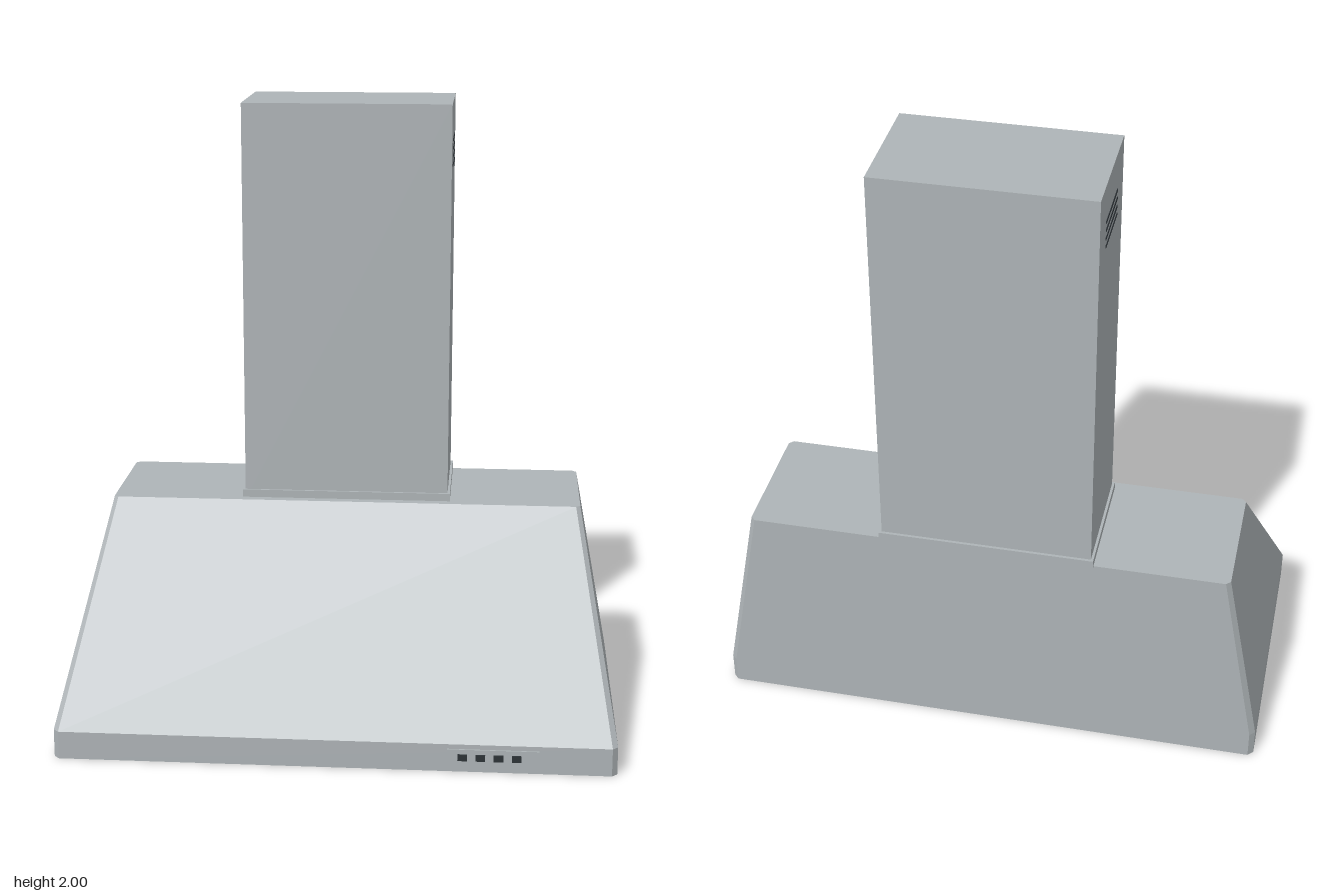
import * as THREE from 'three';

const mat = (name, color) => Object.assign(new THREE.MeshStandardMaterial({ color }), { name });

// Rectangle outline with cut corners at height y
function ring(y, hx, z0, z1, c) {
  return [
    [hx - c, z1], [hx, z1 - c], [hx, z0 + c], [hx - c, z0],
    [-hx + c, z0], [-hx, z0 + c], [-hx, z1 - c], [-hx + c, z1],
  ].map(([x, z]) => [x, y, z]);
}

// Flat-faced skin through successive rings, closed at the last one
function loft(rings) {
  const p = [];
  const n = rings[0].length;
  for (let r = 0; r < rings.length - 1; r++) {
    const a = rings[r], b = rings[r + 1];
    for (let i = 0; i < n; i++) {
      const j = (i + 1) % n;
      p.push(...a[i], ...a[j], ...b[j], ...a[i], ...b[j], ...b[i]);
    }
  }
  const top = rings[rings.length - 1];
  for (let i = 1; i < n - 1; i++) p.push(...top[0], ...top[i], ...top[i + 1]);
  const g = new THREE.BufferGeometry();
  g.setAttribute('position', new THREE.Float32BufferAttribute(p, 3));
  g.computeVertexNormals();
  return g;
}

export function createModel() {
  const steel = mat('brushed steel', 0xaeb4b7);
  const bright = mat('bright trim', 0xd8dcde);
  const dark = mat('dark plastic', 0x2c3236);
  const backing = mat('filter backing', 0x35393b);
  const wire = mat('filter mesh grey', 0x686e70);
  const lens = mat('lamp lens', 0xc4c8c0);

  const model = new THREE.Group();
  model.name = 'rangeHood';

  const add = (name, geo, material, parent = model) => {
    const m = new THREE.Mesh(geo, material);
    m.name = name;
    parent.add(m);
    return m;
  };
  // Box given by its limits
  const box = (name, x0, x1, y0, y1, z0, z1, material, parent) => {
    const m = add(name, new THREE.BoxGeometry(x1 - x0, y1 - y0, z1 - z0), material, parent);
    m.position.set((x0 + x1) / 2, (y0 + y1) / 2, (z0 + z1) / 2);
    return m;
  };
  // Rectangular frame of four bars lying flat
  const frame = (name, x0, x1, y0, y1, z0, z1, w, material, parent) => {
    box(name, x0, x1, y0, y1, z0, z0 + w, material, parent);
    box(name, x0, x1, y0, y1, z1 - w, z1, material, parent);
    box(name, x0, x0 + w, y0, y1, z0 + w, z1 - w, material, parent);
    box(name, x1 - w, x1, y0, y1, z0 + w, z1 - w, material, parent);
  };

  // Canopy: recessed underside, upright band, sloping hood
  add('canopy', loft([
    ring(0.025, 0.862, -0.45, 0.448, 0.012),
    ring(0, 0.862, -0.45, 0.448, 0.012),
    ring(0, 0.882, -0.47, 0.468, 0.017),
    ring(0.09, 0.882, -0.47, 0.468, 0.017),
    ring(0.71, 0.766, -0.47, -0.043, 0.014),
  ]), steel);
  box('undersidePanel', -0.864, 0.864, 0.02, 0.03, -0.452, 0.45, steel);

  // Chimney and its collar
  box('chimney', -0.333, 0.333, 0.70, 2, -0.47, -0.081, steel);
  box('chimneyCollar', -0.341, 0.341, 0.705, 0.735, -0.479, -0.073, steel);

  // Vent slots on both chimney sides
  for (const s of [-1, 1]) {
    for (let i = 0; i < 4; i++) {
      const y = 1.797 + i * 0.027;
      box('ventSlot', s * 0.333 - 0.002, s * 0.333 + 0.002, y - 0.004, y + 0.004, -0.37, -0.18, dark);
    }
  }

  // Control strip with four buttons
  const controls = new THREE.Group();
  controls.name = 'controls';
  model.add(controls);
  box('controlPlate', 0.355, 0.64, 0.025, 0.075, 0.46, 0.473, steel, controls);
  for (let i = 0; i < 4; i++) {
    const x = 0.403 + i * 0.056;
    box('button', x - 0.015, x + 0.015, 0.04, 0.06, 0.468, 0.48, dark, controls);
  }

  // Grease filters on the underside
  frame('filterSurround', -0.825, 0.825, 0.012, 0.022, -0.4, 0.215, 0.032, bright);
  for (const s of [-1, 1]) {
    const filter = new THREE.Group();
    filter.name = s > 0 ? 'leftFilter' : 'rightFilter';
    filter.position.x = s * 0.4;
    model.add(filter);
    const hx = 0.391, z0 = -0.366, z1 = 0.181;
    box('filterBacking', -hx, hx, 0.018, 0.024, z0, z1, backing, filter);
    frame('filterFrame', -hx, hx, 0.009, 0.02, z0, z1, 0.018, bright, filter);
    for (let i = 1; i < 13; i++) {
      const x = -hx + (i * 2 * hx) / 13;
      box('meshBar', x - 0.006, x + 0.006, 0.013, 0.019, z0 + 0.015, z1 - 0.015, wire, filter);
    }
    for (let i = 1; i < 10; i++) {
      const z = z0 + (i * (z1 - z0)) / 10;
      box('meshBar', -hx + 0.015, hx - 0.015, 0.012, 0.018, z - 0.006, z + 0.006, wire, filter);
    }
    box('filterHandle', -0.045, 0.045, 0.002, 0.012, 0.158, 0.182, dark, filter);
  }

  // Round lamps near the front edge
  for (const s of [-1, 1]) {
    const lamp = new THREE.Group();
    lamp.name = s > 0 ? 'leftLamp' : 'rightLamp';
    lamp.position.set(s * 0.655, 0.018, 0.31);
    model.add(lamp);
    add('lampLens', new THREE.CylinderGeometry(0.045, 0.045, 0.008, 32), lens, lamp);
    add('lampRing', new THREE.TorusGeometry(0.048, 0.008, 8, 32).rotateX(Math.PI / 2), bright, lamp);
  }

  return model;
}
